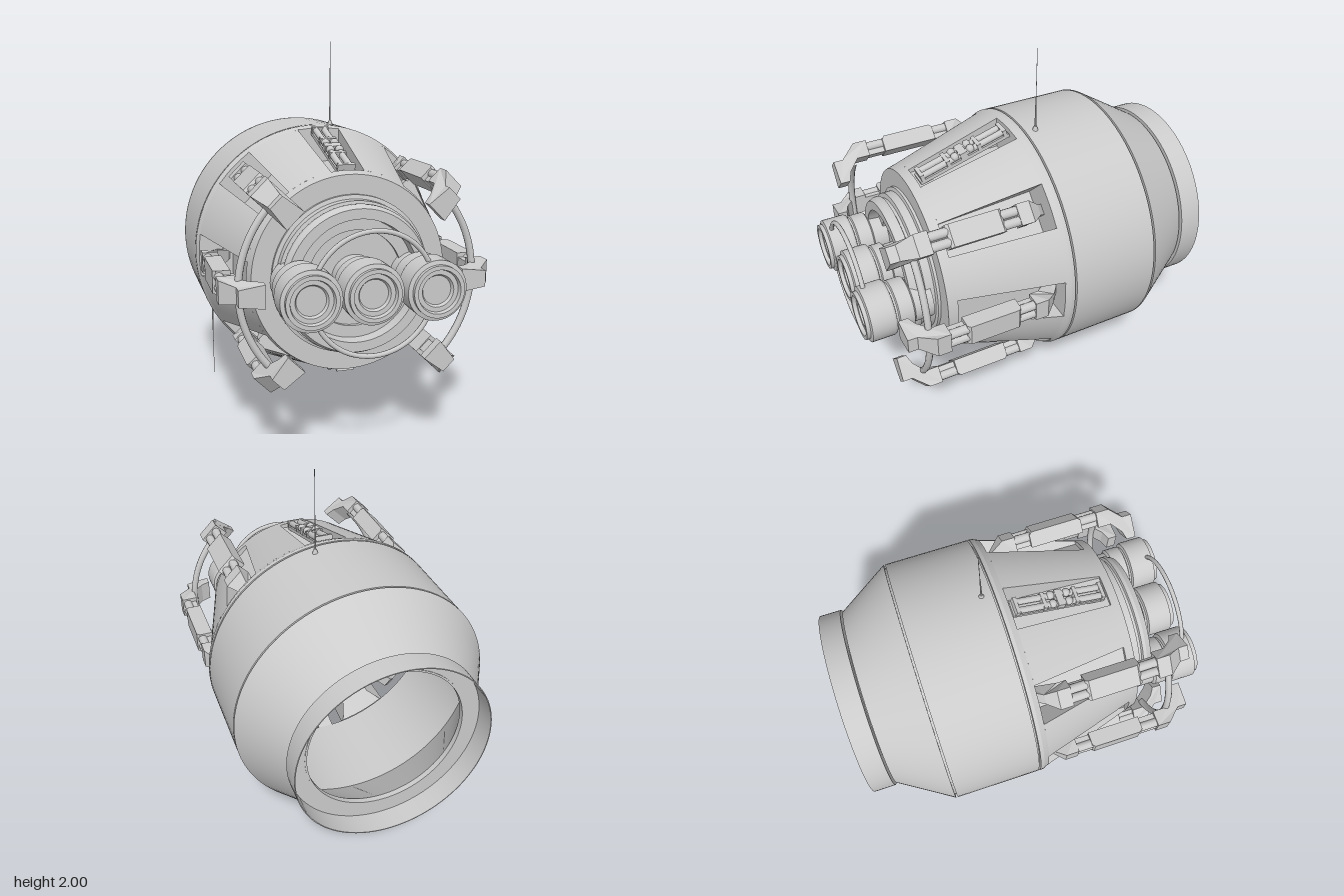
import * as THREE from 'three';
import { toCreasedNormals } from 'three/addons/utils/BufferGeometryUtils.js';
import { ParametricGeometry } from 'three/addons/geometries/ParametricGeometry.js';

const grey = new THREE.MeshStandardMaterial({ color: 0xcccccc });
const greyDouble = new THREE.MeshStandardMaterial({ color: 0xcccccc, side: THREE.DoubleSide });

function add(parent, name, geometry, x = 0, y = 0, z = 0, material = grey) {
  const mesh = new THREE.Mesh(geometry, material);
  mesh.name = name;
  mesh.position.set(x, y, z);
  parent.add(mesh);
  return mesh;
}

function group(parent, name) {
  const g = new THREE.Group();
  g.name = name;
  parent.add(g);
  return g;
}

// Turned part around the z axis; points are [radius, z]
function turned(points, segments = 96) {
  const g = new THREE.LatheGeometry(points.map(([r, z]) => new THREE.Vector2(r, z)), segments);
  g.rotateX(Math.PI / 2);
  return toCreasedNormals(g, 0.4);
}

// Side profile in [radius, z], given a thickness across
function profilePlate(points, width) {
  const shape = new THREE.Shape(points.map(([r, z]) => new THREE.Vector2(r, z)));
  const g = new THREE.ExtrudeGeometry(shape, { depth: width, bevelEnabled: false });
  g.translate(0, 0, -width / 2);
  g.rotateX(Math.PI / 2);
  return g;
}

// Scales a plate's width by a rule of radius and z
function taper(g, rule) {
  const p = g.attributes.position;
  for (let i = 0; i < p.count; i++) p.setY(i, p.getY(i) * rule(p.getX(i), p.getZ(i)));
  g.computeVertexNormals();
  return g;
}

// Tapered nose section: outer radius and slot half width along z
const Z0 = -0.01, Z1 = 0.51, FLOOR = 0.485, STEP = Math.PI / 4;
const coneRadius = z => 0.667 - 0.3 * (z - Z0);
const slotHalf = z => 0.115 - 0.058 * (z - Z0);
const lerp = THREE.MathUtils.lerp;

function surface(fn, nu, nv) {
  return new ParametricGeometry((u, v, target) => target.set(...fn(u, v)), nu, nv);
}

// Curved panel between two neighbouring slots
function conePanel(offset, flip) {
  return surface((u, v) => {
    const z = lerp(Z0, Z1, v), r = coneRadius(z) - offset;
    const a = Math.asin(slotHalf(z) / r);
    const t = lerp(a, STEP - a, flip ? 1 - u : u);
    return [r * Math.cos(t), r * Math.sin(t), z];
  }, 10, 6);
}

// Side wall of a slot
function slotWall(side) {
  return surface((u, v) => {
    const z = lerp(Z0, Z1, side > 0 ? 1 - u : u), w = slotHalf(z);
    return [lerp(FLOOR, Math.sqrt(coneRadius(z) ** 2 - w * w), v), side * w, z];
  }, 6, 1);
}

const slotFloor = surface((u, v) => {
  const z = lerp(Z0, Z1, v);
  return [FLOOR, (u * 2 - 1) * slotHalf(z), z];
}, 1, 1);

const slotBack = surface((u, v) => [lerp(FLOOR, 0.66, u), (v * 2 - 1) * slotHalf(Z0), Z0], 1, 1);

// Bracing strut, lying along z with x as its radial direction
function buildStrut(parent) {
  const s = group(parent, 'strut');
  add(s, 'strutBody', profilePlate([[0.59, 0.24], [0.66, 0.24], [0.675, 0.255], [0.675, 0.515],
    [0.66, 0.53], [0.59, 0.53]], 0.115), 0, 0, 0);
  for (const z of [0.195, 0.575]) {
    for (const y of [-0.026, 0.026]) {
      const rod = new THREE.CylinderGeometry(0.024, 0.024, 0.12, 12);
      rod.rotateX(Math.PI / 2);
      add(s, 'strutRod', rod, 0.645, y, z);
    }
    add(s, 'strutCore', new THREE.BoxGeometry(0.05, 0.07, 0.12), 0.62, 0, z);
  }
  const foot = profilePlate([[0.59, 0.62], [0.675, 0.62], [0.675, 0.69], [0.605, 0.765],
    [0.605, 0.815], [0.48, 0.815], [0.48, 0.765], [0.53, 0.745], [0.59, 0.69]], 0.115);
  add(s, 'strutFoot', taper(foot, (r, z) => (z > 0.7 && r > 0.6 ? 0.7 : 1)));
  const heel = profilePlate([[0.59, 0.16], [0.59, 0.11], [0.52, 0.04], [0.5, -0.01],
    [0.57, -0.01], [0.62, 0.03], [0.672, 0.09], [0.672, 0.16]], 0.11);
  add(s, 'strutHeel', taper(heel, (r, z) => (z < 0.05 ? 0.5 : 1)));
}

// Twin pipes with clamps, sunk in the top and bottom slots
function buildPipes(parent) {
  const g = group(parent, 'pipeCluster');
  g.position.set(0.59, 0, 0.25);
  g.rotation.y = -Math.atan(0.3);
  add(g, 'pipeTray', new THREE.BoxGeometry(0.02, 0.085, 0.52), -0.025, 0, 0);
  for (const y of [-0.024, 0.024]) {
    const pipe = new THREE.CylinderGeometry(0.017, 0.017, 0.5, 12);
    pipe.rotateX(Math.PI / 2);
    add(g, 'pipe', pipe, 0, y, 0);
    for (const z of [-0.045, 0.045]) add(g, 'valve', new THREE.SphereGeometry(0.022, 12, 8), 0.008, y, z);
  }
  for (const z of [-0.24, -0.09, 0, 0.09, 0.24]) {
    add(g, 'pipeClamp', new THREE.BoxGeometry(0.035, 0.09, z === 0 ? 0.04 : 0.02), 0, 0, z);
  }
}

// Thruster with a stepped rim and a recessed nozzle
function buildThruster(parent, x, front) {
  const f = front;
  add(parent, 'thruster', turned([[0.115, 0.6], [0.115, 0.7], [0.13, 0.71], [0.13, f - 0.175],
    [0.12, f - 0.17], [0.12, f - 0.16], [0.14, f - 0.155], [0.145, f - 0.145], [0.145, f - 0.025],
    [0.125, f - 0.02], [0.125, f], [0.105, f], [0.1, f - 0.02], [0.078, f - 0.02],
    [0.07, f - 0.035], [0, f - 0.035]], 40), x, 0, 0, greyDouble);
}

// Whip antenna; direction is +1 for up, -1 for down
function buildAntenna(parent, x, y, z, length, direction) {
  const a = group(parent, 'antenna');
  a.position.set(x, y, z);
  if (direction < 0) a.rotation.z = Math.PI;
  add(a, 'antennaBase', new THREE.CylinderGeometry(0.008, 0.016, 0.03, 12), 0, 0.005, 0);
  add(a, 'antennaSleeve', new THREE.CylinderGeometry(0.003, 0.005, length * 0.4, 8), 0, length * 0.2, 0);
  add(a, 'antennaWhip', new THREE.CylinderGeometry(0.0015, 0.002, length, 6), 0, length / 2, 0);
}

export function createModel() {
  const model = new THREE.Group();
  model.name = 'spacePod';
  const pod = group(model, 'pod');
  pod.position.y = 0.875;

  // Rear hull shell with its seams
  add(pod, 'rearHull', turned([[0.63, -0.01], [0.63, -0.52], [0.41, -0.82], [0.41, -0.848],
    [0.42, -0.848], [0.42, -0.832], [0.5, -0.832], [0.68, -0.545], [0.66, -0.545], [0.66, -0.535],
    [0.68, -0.535], [0.68, -0.07], [0.655, -0.07], [0.655, -0.06], [0.68, -0.06], [0.68, -0.04],
    [0.667, -0.01], [0.63, -0.01]]), 0, 0, 0, greyDouble);

  // Open docking ring at the back
  add(pod, 'rearRing', turned([[0.41, -0.845], [0.505, -0.845], [0.505, -0.96], [0.51, -0.96],
    [0.51, -0.842], [0.41, -0.842]]), 0, 0, 0, greyDouble);

  // Stepped front collar
  add(pod, 'frontCollar', turned([[0.46, 0.51], [0.511, 0.51], [0.497, 0.56], [0.4, 0.56],
    [0.4, 0.575], [0.38, 0.58], [0.38, 0.625], [0.355, 0.63], [0.355, 0.645], [0.37, 0.65],
    [0.37, 0.67], [0.355, 0.7], [0.305, 0.7], [0.3, 0.64], [0.24, 0.64], [0.24, 0.62], [0, 0.62]]),
    0, 0, 0, greyDouble);
  add(pod, 'collarBackRim', turned([[0.46, 0.51], [0.511, 0.51]]), 0, 0, 0, greyDouble);

  // Slotted nose: panels, slots, and a strut or pipe cluster in each slot
  const outer = conePanel(0, false), inner = conePanel(0.04, true);
  const walls = [slotWall(1), slotWall(-1)];
  for (let k = 0; k < 8; k++) {
    const bay = group(pod, 'noseBay');
    bay.rotation.z = k * STEP;
    add(bay, 'nosePanel', outer);
    add(bay, 'noseLining', inner);
    walls.forEach(w => add(bay, 'slotWall', w));
    add(bay, 'slotFloor', slotFloor);
    add(bay, 'slotBack', slotBack);
    if (k === 2 || k === 6) buildPipes(bay);
    else buildStrut(bay);
  }

  // Curved rails joining the struts on each side
  for (const start of [-Math.PI / 4, Math.PI * 0.75]) {
    const rail = add(pod, 'sideRail', new THREE.TorusGeometry(0.585, 0.018, 10, 40, Math.PI / 2), 0, 0, 0.7);
    rail.rotation.z = start;
  }

  // Thrusters and the hoop around them
  buildThruster(pod, 0, 0.94);
  buildThruster(pod, 0.3, 0.96);
  buildThruster(pod, -0.3, 0.96);
  add(pod, 'thrusterHoop', new THREE.TorusGeometry(0.295, 0.012, 10, 64), 0, 0, 0.91);

  buildAntenna(model, 0.1, 1.55, -0.125, 0.45, 1);
  buildAntenna(model, -0.54, 0.46, -0.47, 0.46, -1);
  return model;
}
